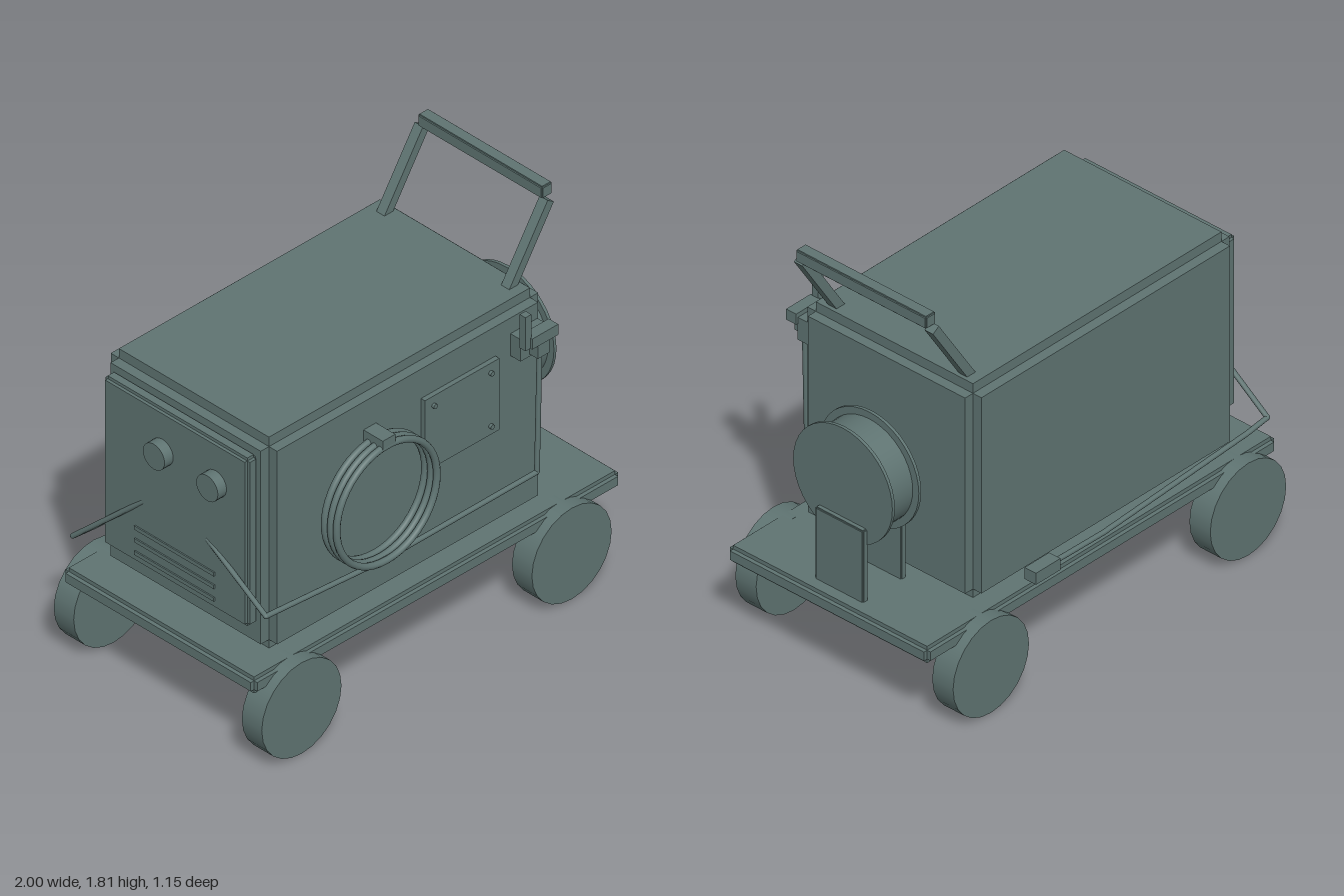
import * as THREE from 'three';

const material = new THREE.MeshStandardMaterial({ color: 0x5f7472 });

function add(parent, name, geometry, x = 0, y = 0, z = 0) {
  const mesh = new THREE.Mesh(geometry, material);
  mesh.name = name;
  mesh.position.set(x, y, z);
  parent.add(mesh);
  return mesh;
}

// Box given by its extents along each axis
function box(parent, name, [x0, x1], [y0, y1], [z0, z1]) {
  return add(parent, name, new THREE.BoxGeometry(x1 - x0, y1 - y0, z1 - z0),
    (x0 + x1) / 2, (y0 + y1) / 2, (z0 + z1) / 2);
}

// Three crossed boxes that give a block with stepped edges
function steppedBox(parent, name, xs, ys, zs, step) {
  const group = new THREE.Group();
  group.name = name;
  parent.add(group);
  const inset = ([a, b]) => [a + step, b - step];
  box(group, name + 'Length', xs, inset(ys), inset(zs));
  box(group, name + 'Height', inset(xs), ys, inset(zs));
  box(group, name + 'Width', inset(xs), inset(ys), zs);
  return group;
}

// Cylinder along x or z
function disc(parent, name, axis, radius, length, x, y, z, sides = 32) {
  const geometry = new THREE.CylinderGeometry(radius, radius, length, sides);
  if (axis === 'x') geometry.rotateZ(Math.PI / 2);
  else geometry.rotateX(Math.PI / 2);
  return add(parent, name, geometry, x, y, z);
}

// Straight cable runs joined at sharp bends
function cable(parent, name, points, radius) {
  const group = new THREE.Group();
  group.name = name;
  parent.add(group);
  const v = points.map((p) => new THREE.Vector3(...p));
  for (let i = 0; i < v.length - 1; i++) {
    const path = new THREE.LineCurve3(v[i], v[i + 1]);
    add(group, name + 'Run', new THREE.TubeGeometry(path, 1, radius, 8));
    add(group, name + 'Bend', new THREE.SphereGeometry(radius, 8, 6), ...points[i + 1]);
  }
}

export function createModel() {
  const model = new THREE.Group();
  model.name = 'weldingCart';

  // Cart: deck, axles and wheels
  steppedBox(model, 'deck', [-1, 1], [0.357, 0.435], [-0.53, 0.53], 0.018);
  for (const x of [-0.785, 0.685]) {
    disc(model, 'axle', 'z', 0.03, 0.96, x, 0.22, 0, 16);
    for (const side of [-1, 1]) disc(model, 'wheel', 'z', 0.217, 0.11, x, 0.22, side * 0.52, 24);
  }

  // Machine body and control panel
  steppedBox(model, 'body', [-0.85, 0.66], [0.43, 1.44], [-0.46, 0.46], 0.045);
  steppedBox(model, 'controlPanel', [-0.908, -0.846], [0.57, 1.37], [-0.4, 0.4], 0.014);
  for (const z of [-0.07, 0.225]) disc(model, 'knob', 'x', 0.06, 0.05, -0.93, 1.175, z, 24);
  for (const y of [0.62, 0.68, 0.74])
    box(model, 'ventSlot', [-0.914, -0.9], [y - 0.009, y + 0.009], [-0.22, 0.22]);

  // Slanted push handle
  const foot = new THREE.Vector2(0.56, 1.42), top = new THREE.Vector2(0.775, 1.75);
  const rise = top.clone().sub(foot);
  for (const side of [-1, 1]) {
    const arm = add(model, 'handleArm', new THREE.BoxGeometry(0.04, rise.length(), 0.045),
      (foot.x + top.x) / 2, (foot.y + top.y) / 2, side * 0.345);
    arm.rotation.z = -Math.atan2(rise.x, rise.y);
  }
  steppedBox(model, 'handleGrip', [0.75, 0.808], [1.757, 1.815], [-0.345, 0.345], 0.006);

  // Wire spool between two brackets
  disc(model, 'spoolDrum', 'x', 0.23, 0.15, 0.828, 0.925, 0, 40);
  for (const x of [0.752, 0.903]) disc(model, 'spoolFlange', 'x', 0.262, 0.014, x, 0.925, 0, 40);
  for (const x of [0.698, 0.917])
    steppedBox(model, 'spoolBracket', [x - 0.015, x + 0.015], [0.43, 0.77], [-0.127, 0.127], 0.005);

  // Coiled cable hung on the front side
  for (const z of [0.487, 0.521, 0.553])
    add(model, 'cableCoil', new THREE.TorusGeometry(0.273, 0.015, 10, 48), -0.3, 0.945, z);
  box(model, 'coilHook', [-0.335, -0.267], [1.21, 1.262], [0.45, 0.567]);

  // Riveted plate
  box(model, 'plate', [-0.022, 0.383], [0.915, 1.255], [0.455, 0.482]);
  for (const x of [0.025, 0.335])
    for (const y of [0.957, 1.21]) disc(model, 'rivet', 'z', 0.011, 0.02, x, y, 0.485, 12);

  // Torch and its holder
  box(model, 'torchMount', [0.465, 0.612], [1.215, 1.32], [0.455, 0.515]);
  box(model, 'torchBody', [0.48, 0.622], [1.29, 1.34], [0.512, 0.565]);
  box(model, 'torchTip', [0.453, 0.485], [1.29, 1.45], [0.523, 0.555]);
  box(model, 'torchClip', [0.515, 0.58], [1.225, 1.3], [0.515, 0.56]);
  cable(model, 'torchCable', [[-0.9, 0.88, 0.17], [-0.94, 0.715, 0.535], [-0.3, 0.668, 0.54],
    [0.53, 0.67, 0.54], [0.55, 1.27, 0.535]], 0.011);

  // Ground clamp on the back side
  box(model, 'groundClamp', [0.275, 0.415], [0.463, 0.517], [-0.563, -0.503]);
  cable(model, 'groundCable', [[-0.9, 0.88, -0.18], [-0.94, 0.555, -0.533], [-0.82, 0.54, -0.535],
    [0, 0.487, -0.535], [0.3, 0.49, -0.533]], 0.011);

  return model;
}
